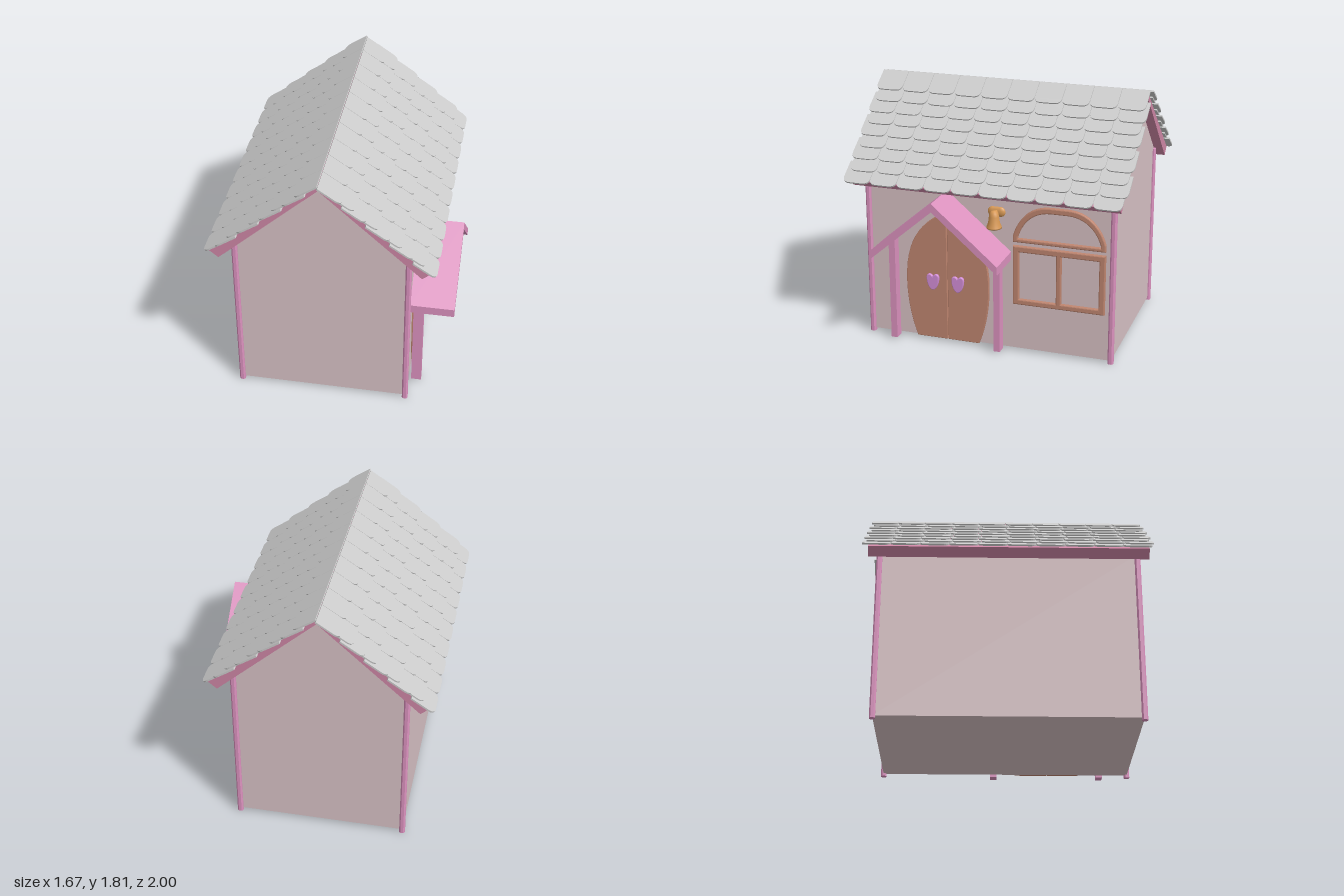
import * as THREE from 'three';
import { mergeGeometries } from 'three/addons/utils/BufferGeometryUtils.js';

const mat = (color) => new THREE.MeshStandardMaterial({ color });
const wallMat = mat(0xd8c2c5), pink = mat(0xdc92bf), trim = mat(0xcf87a6), wood = mat(0xc08670);
const grey = mat(0xcccccc), orange = mat(0xd99a56), lilac = mat(0xd48fd8), black = mat(0x222222);

const RIDGE_X = -0.06, RIDGE_Y = 1.8, WALL_X = 0.525;

function add(parent, name, geo, material, x = 0, y = 0, z = 0) {
  const m = new THREE.Mesh(geo, material);
  m.name = name;
  m.position.set(x, y, z);
  parent.add(m);
  return m;
}

const poly = (pts) => new THREE.Shape(pts.map((p) => new THREE.Vector2(...p)));

// Shape drawn as seen from the door side (u = -z, v = y), extruded along +x
function sideExtrude(shape, depth, bevel = 0) {
  const g = new THREE.ExtrudeGeometry(shape, {
    depth: depth - bevel, curveSegments: 12, bevelEnabled: bevel > 0,
    bevelSize: bevel, bevelThickness: bevel, bevelOffset: -bevel, bevelSegments: 2,
  });
  return g.rotateY(Math.PI / 2);
}

const rect = (x0, y0, x1, y1) => poly([[x0, y0], [x1, y0], [x1, y1], [x0, y1]]);

// Flat-bottomed arch outline
function arch(w, y0, y1, top) {
  const s = new THREE.Shape();
  s.moveTo(-w, y0);
  s.lineTo(w, y0);
  s.lineTo(w, y1);
  s.bezierCurveTo(w * 0.88, y1 + (top - y1) * 0.6, w * 0.6, top, w * 0.2, top);
  s.lineTo(-w * 0.2, top);
  s.bezierCurveTo(-w * 0.6, top, -w * 0.88, y1 + (top - y1) * 0.6, -w, y1);
  return s;
}

// Rows of overlapping round-cornered tiles on one roof slope
function tileSlope() {
  const len = 0.187, w = 0.0975, r = 0.05, pitch = 0.198;
  const s = new THREE.Shape();
  s.moveTo(-len, -w);
  s.lineTo(-r, -w);
  s.quadraticCurveTo(0, -w, 0, -w + r);
  s.lineTo(0, w - r);
  s.quadraticCurveTo(0, w, -r, w);
  s.lineTo(-len, w);
  const tile = new THREE.ExtrudeGeometry(s, { depth: 0.012, bevelEnabled: false, curveSegments: 5 });
  tile.rotateX(-Math.PI / 2).rotateZ(0.1);
  const tiles = [];
  for (let row = 0; row < 9; row++) {
    const shift = row % 2 ? -0.011 : 0.011;
    for (let i = 0; i < 10; i++) {
      tiles.push(tile.clone().translate(0.99 - row * 0.1004, 0.014, (i - 4.5) * pitch + shift));
    }
  }
  return mergeGeometries(tiles).rotateZ(-Math.atan2(0.61, 0.74));
}

function createRoof() {
  const roof = new THREE.Group();
  roof.name = 'roof';
  roof.position.x = RIDGE_X;
  // Tapered boards under the tiles
  const boards = poly([[0, 1.8], [-0.74, 1.19], [-0.68, 1.14], [0, 1.76], [0.68, 1.14], [0.74, 1.19]]);
  const g = new THREE.ExtrudeGeometry(boards, { depth: 1.915, bevelEnabled: false });
  add(roof, 'roofBoards', g, trim, 0, 0, -0.9575);
  const tiles = tileSlope();
  for (const turn of [0, Math.PI]) add(roof, 'roofTiles', tiles, grey, 0, RIDGE_Y, 0).rotation.y = turn;
  return roof;
}

function createDoor() {
  const door = new THREE.Group();
  door.name = 'door';
  door.position.set(WALL_X, 0, 0.3);
  // Two mirrored leaves
  for (const s of [-1, 1]) {
    const leaf = new THREE.Shape();
    leaf.moveTo(s * 0.002, 0.02);
    leaf.lineTo(s * 0.232, 0.02);
    leaf.bezierCurveTo(s * 0.28, 0.14, s * 0.308, 0.3, s * 0.308, 0.45);
    leaf.bezierCurveTo(s * 0.308, 0.74, s * 0.2, 0.88, s * 0.035, 0.968);
    leaf.lineTo(s * 0.002, 0.972);
    add(door, 'doorLeaf', sideExtrude(leaf, 0.024, 0.004), wood);

    // Heart handle on a short stem
    const h = new THREE.Shape();
    h.moveTo(0, 0.045);
    h.bezierCurveTo(0.012, 0.07, 0.046, 0.068, 0.046, 0.035);
    h.bezierCurveTo(0.046, -0.01, 0.025, -0.056, 0, -0.056);
    h.bezierCurveTo(-0.025, -0.056, -0.046, -0.01, -0.046, 0.035);
    h.bezierCurveTo(-0.046, 0.068, -0.012, 0.07, 0, 0.045);
    add(door, 'heartHandle', sideExtrude(h, 0.018, 0.006), lilac, 0.055, 0.465, s * 0.093);
    const stem = new THREE.CylinderGeometry(0.014, 0.014, 0.04, 12).rotateZ(Math.PI / 2);
    add(door, 'handleStem', stem, black, 0.037, 0.465, s * 0.093);
  }
  return door;
}

function createPorch() {
  const porch = new THREE.Group();
  porch.name = 'porch';
  porch.position.set(WALL_X, 0, 0.3);
  const canopy = poly([[0, 1.14], [-0.465, 0.74], [-0.465, 0.68], [0, 1.08], [0.465, 0.68], [0.465, 0.74]]);
  add(porch, 'canopy', sideExtrude(canopy, 0.305), pink);
  for (const s of [-1, 1]) {
    add(porch, 'porchPost', new THREE.BoxGeometry(0.07, 0.75, 0.046), pink, 0.056, 0.385, s * 0.388);
  }
  return porch;
}

function createWindow() {
  const win = new THREE.Group();
  win.name = 'window';
  win.position.set(WALL_X, 0, -0.512);
  const frame = rect(-0.328, 0.36, 0.328, 0.795);
  frame.holes.push(rect(-0.285, 0.4, -0.018, 0.75), rect(0.018, 0.4, 0.285, 0.75));
  add(win, 'windowFrame', sideExtrude(frame, 0.024, 0.008), wood);
  const top = arch(0.328, 0.822, 0.87, 1.093);
  top.holes.push(arch(0.292, 0.85, 0.865, 1.052));
  add(win, 'archFrame', sideExtrude(top, 0.024, 0.008), wood);
  return win;
}

function createLamp() {
  const lamp = new THREE.Group();
  lamp.name = 'lamp';
  lamp.position.set(WALL_X, 0, -0.065);
  // Rounded wall plate, arm, bell shade and bulb
  const plate = new THREE.CapsuleGeometry(0.036, 0.055, 6, 16).rotateX(Math.PI / 2).scale(0.5, 1, 1);
  add(lamp, 'lampPlate', plate, orange, 0.01, 1.027, 0);
  add(lamp, 'lampArm', new THREE.CylinderGeometry(0.015, 0.015, 0.06, 12).rotateZ(Math.PI / 2), orange, 0.035, 1.03, 0);
  const bell = [[0.046, 0.935], [0.053, 0.928], [0.053, 0.937], [0.041, 0.965], [0.035, 1.01], [0.03, 1.035], [0.018, 1.05], [0, 1.053]];
  const shadeMat = mat(0xd99a56);
  shadeMat.side = THREE.DoubleSide;
  add(lamp, 'lampShade', new THREE.LatheGeometry(bell.map((p) => new THREE.Vector2(...p)), 24), shadeMat, 0.066, 0, 0);
  add(lamp, 'lampBulb', new THREE.SphereGeometry(0.033, 20, 14), grey, 0.066, 0.94, 0);
  return lamp;
}

export function createModel() {
  const house = new THREE.Group();
  house.name = 'house';

  // Gabled body
  const gable = poly([[-0.585, 0.02], [0.585, 0.02], [0.585, 1.227], [0, 1.765], [-0.585, 1.227]]);
  add(house, 'walls', new THREE.ExtrudeGeometry(gable, { depth: 1.78, bevelEnabled: false }), wallMat, RIDGE_X, 0, -0.89);

  // Corner posts
  const chamfer = poly([[-0.02, -0.01], [-0.01, -0.02], [0.01, -0.02], [0.02, -0.01], [0.02, 0.01], [0.01, 0.02], [-0.01, 0.02], [-0.02, 0.01]]);
  const post = new THREE.ExtrudeGeometry(chamfer, { depth: 1.215, bevelEnabled: false }).rotateX(-Math.PI / 2);
  for (const sx of [-1, 1]) {
    for (const sz of [-1, 1]) add(house, 'cornerPost', post, pink, RIDGE_X + sx * 0.585, 0, sz * 0.889);
  }

  house.add(createRoof(), createDoor(), createPorch(), createWindow(), createLamp());
  return house;
}
